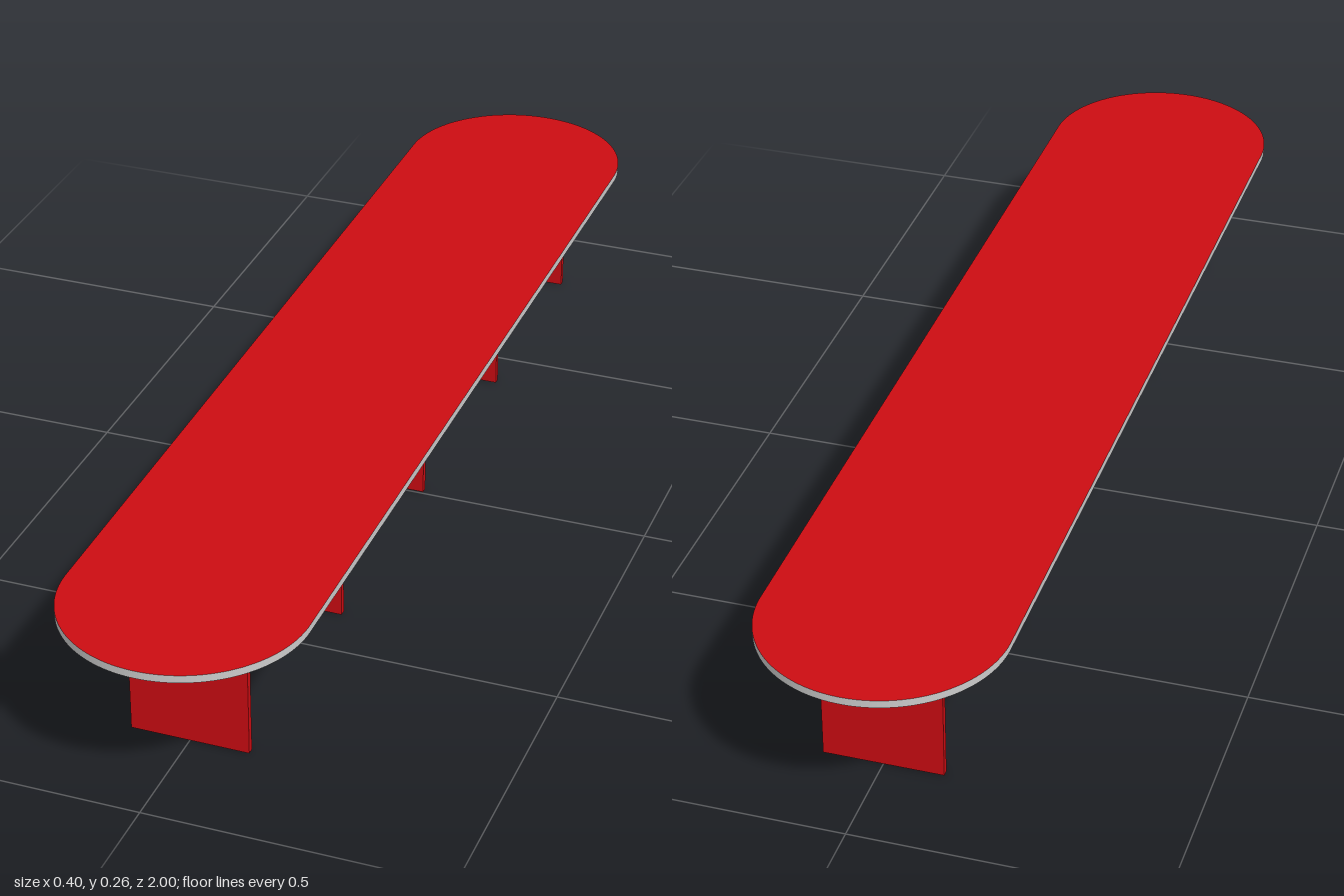
import * as THREE from 'three';

const red = new THREE.MeshStandardMaterial({ color: 0xcc0c12 });
const grey = new THREE.MeshStandardMaterial({ color: 0xcccccc });

const TOP_Y = 0.259, UNDER_Y = 0.246, HALF_W = 0.2, HALF_L = 1;

function box(name, w, h, d, x, y, z) {
  const mesh = new THREE.Mesh(new THREE.BoxGeometry(w, h, d), red);
  mesh.name = name;
  mesh.position.set(x, y, z);
  return mesh;
}

// Horizontal slab from a plan outline: red faces, grey edge band
function slab(name, shape) {
  const geo = new THREE.ExtrudeGeometry(shape, {
    depth: TOP_Y - UNDER_Y, bevelEnabled: false, curveSegments: 40,
  });
  geo.rotateX(-Math.PI / 2);
  const mesh = new THREE.Mesh(geo, [red, grey]);
  mesh.name = name;
  mesh.position.y = UNDER_Y;
  return mesh;
}

export function createModel() {
  const table = new THREE.Group();
  table.name = 'conferenceTable';

  // Rounded end sections of the top
  const end = new THREE.Shape();
  end.moveTo(-HALF_W, 0.6);
  end.lineTo(HALF_W, 0.6);
  end.lineTo(HALF_W, HALF_L - HALF_W);
  end.absarc(0, HALF_L - HALF_W, HALF_W, 0, Math.PI, false);
  end.closePath();
  ['backTopSection', 'frontTopSection'].forEach((name, i) => {
    const part = slab(name, end);
    part.rotation.y = i * Math.PI;
    table.add(part);
  });

  // Straight middle sections of the top
  const middle = new THREE.Shape([
    new THREE.Vector2(-HALF_W, -0.2), new THREE.Vector2(HALF_W, -0.2),
    new THREE.Vector2(HALF_W, 0.2), new THREE.Vector2(-HALF_W, 0.2),
  ]);
  for (const z of [-0.4, 0, 0.4]) {
    const part = slab('middleTopSection', middle);
    part.position.z = z;
    table.add(part);
  }

  // Five panel legs
  const thick = 0.011, firstZ = 0.8, pitch = 0.405;
  for (let i = 0; i < 5; i++) {
    const z = firstZ - i * pitch;
    table.add(box('panelLeg', 0.198, UNDER_Y, thick, 0, UNDER_Y / 2, z));
    // Central stretcher panel up to the next leg
    if (i < 4) {
      table.add(box('stretcherPanel', thick, UNDER_Y - 0.15, pitch - thick,
        0, (UNDER_Y + 0.15) / 2, z - pitch / 2));
    }
  }

  // Side rails beneath the top
  const railLength = 4 * pitch + thick, railZ = firstZ - 2 * pitch;
  for (const side of [-1, 1]) {
    table.add(box(side > 0 ? 'leftRail' : 'rightRail', thick, UNDER_Y - 0.21, railLength,
      side * (0.1 - thick / 2), (UNDER_Y + 0.21) / 2, railZ));
  }
  return table;
}
